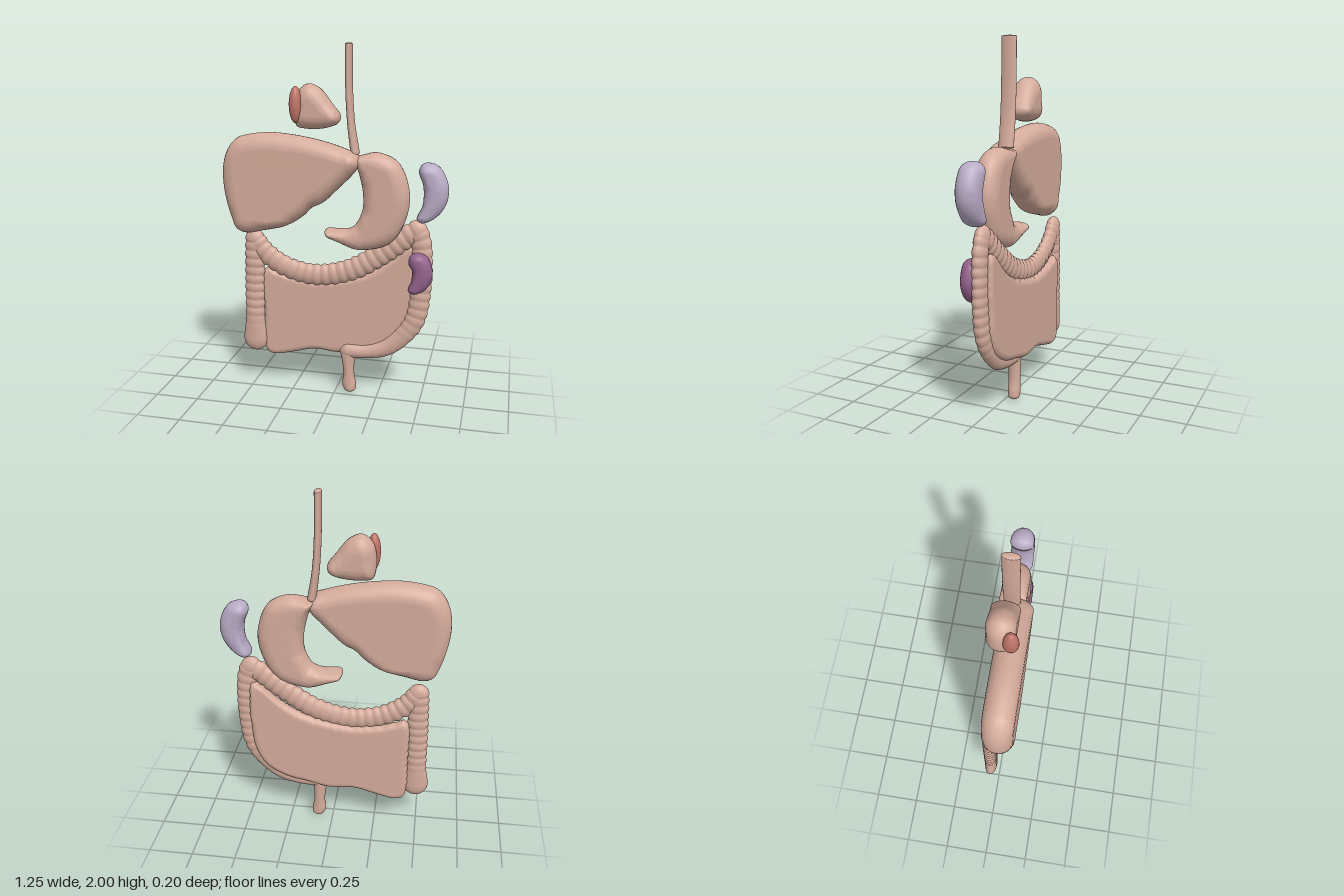
import * as THREE from 'three';

const mat = (name, color) => {
  const m = new THREE.MeshStandardMaterial({ color });
  m.name = name;
  return m;
};

function buildGeometry(pos, idx) {
  const g = new THREE.BufferGeometry();
  g.setAttribute('position', new THREE.Float32BufferAttribute(pos, 3));
  g.setIndex(idx);
  g.computeVertexNormals();
  return g;
}

// Side faces between consecutive rings of n points
function joinRings(rings, n) {
  const idx = [];
  for (let i = 0; i < rings - 1; i++) for (let j = 0; j < n; j++) {
    const a = i * n + j, b = i * n + (j + 1) % n;
    idx.push(a, b, b + n, a, b + n, a + n);
  }
  return idx;
}

// Closest point to p on a polyline
function nearest(p, spine) {
  let best = null, bestD = Infinity;
  for (let i = 0; i < spine.length - 1; i++) {
    const a = new THREE.Vector2(...spine[i]);
    const d = new THREE.Vector2(...spine[i + 1]).sub(a);
    const t = THREE.MathUtils.clamp(p.clone().sub(a).dot(d) / d.lengthSq(), 0, 1);
    const q = a.addScaledVector(d, t);
    if (q.distanceTo(p) < bestD) { bestD = q.distanceTo(p); best = q; }
  }
  return best;
}

// Cushion: smooth outline whose rim rounds over towards an inner spine
function pillow(outline, spine, zBack, zFront, bevel, ripple = () => 0) {
  const n = 180, layers = 12, zc = (zBack + zFront) / 2, hd = (zFront - zBack) / 2;
  const curve = new THREE.CatmullRomCurve3(
    outline.map(([x, y]) => new THREE.Vector3(x, y, 0)), true, 'centripetal');
  let pts = curve.getSpacedPoints(n).slice(0, n).map(p => new THREE.Vector2(p.x, p.y));
  if (THREE.ShapeUtils.isClockWise(pts)) pts.reverse();
  const inward = pts.map(p => {
    const v = nearest(p, spine).sub(p), len = v.length();
    v.divideScalar(len);
    p.addScaledVector(v, -ripple(p));
    return v.multiplyScalar(Math.min(bevel, len * 0.92));
  });
  const pos = [];
  for (let k = 0; k <= layers; k++) {
    const a = (k / layers - 0.5) * Math.PI;
    pts.forEach((p, j) => {
      const s = 1 - Math.cos(a);
      pos.push(p.x + inward[j].x * s, p.y + inward[j].y * s, zc + hd * Math.sin(a));
    });
  }
  const idx = joinRings(layers + 1, n);
  const face = pts.map((p, j) => p.clone().add(inward[j]));
  for (const [a, b, c] of THREE.ShapeUtils.triangulateShape(face, [])) {
    const o = layers * n;
    idx.push(a + o, b + o, c + o, a, c, b);
  }
  return buildGeometry(pos, idx);
}

// Tube along [x, y, half width] points, with rounded ends and optional bulges
function sweep(path, zc, hd, { bulge = 0, pitch = 0.05, cap = 1, steps = 120 } = {}) {
  const curve = new THREE.CatmullRomCurve3(
    path.map(p => new THREE.Vector3(...p)), false, 'centripetal');
  const length = curve.getLength(), sides = 20, capN = 6, pos = [];
  let rings = 0;
  const ring = (u, along, scale) => {
    const p = curve.getPointAt(u), t = curve.getTangentAt(u).setZ(0).normalize();
    const fade = THREE.MathUtils.clamp((p.y - 0.35) / 0.15, 0, 1);
    const wave = 1 + bulge * fade * (Math.abs(Math.sin(Math.PI * u * length / pitch)) - 0.6);
    const r = p.z * wave * scale;
    for (let j = 0; j < sides; j++) {
      const a = j / sides * Math.PI * 2, w = r * Math.cos(a), off = along * p.z * cap;
      pos.push(p.x + t.x * off - t.y * w, p.y + t.y * off + t.x * w,
        zc + hd * wave * scale * Math.sin(a));
    }
    rings++;
  };
  for (let k = 0; k < capN; k++) {
    const a = k / capN * Math.PI / 2;
    ring(0, -Math.cos(a), Math.sin(a));
  }
  for (let i = 0; i <= steps; i++) ring(i / steps, 0, 1);
  for (let k = capN - 1; k >= 0; k--) {
    const a = k / capN * Math.PI / 2;
    ring(1, Math.cos(a), Math.sin(a));
  }
  return buildGeometry(pos, joinRings(rings, sides));
}

export function createModel() {
  const group = new THREE.Group();
  const tissue = mat('tissue tan', 0xd4ab9b);
  const lilac = mat('pale lilac', 0xb9abc6);
  const plum = mat('plum', 0x94628c);
  const red = mat('dusty red', 0xbf7468);
  const add = (name, geometry, material = tissue) => {
    const m = new THREE.Mesh(geometry, material);
    m.name = name;
    group.add(m);
    return m;
  };

  // Upper organs
  add('esophagus', sweep([[0.077, 1.994, 0.019], [0.08, 1.76, 0.019], [0.092, 1.58, 0.02],
    [0.115, 1.42, 0.024]], -0.013, 0.044, { cap: 0.3, steps: 40 }));

  add('liver', pillow([[-0.48, 1.51], [-0.34, 1.525], [-0.12, 1.5], [0.05, 1.455], [0.135, 1.415],
    [0.15, 1.375], [0.125, 1.33], [0.035, 1.235], [-0.055, 1.15], [-0.12, 1.115], [-0.165, 1.07],
    [-0.26, 1.01], [-0.39, 0.975], [-0.495, 0.955], [-0.55, 0.975], [-0.585, 1.05], [-0.622, 1.21],
    [-0.622, 1.34], [-0.59, 1.435], [-0.54, 1.49]],
  [[-0.47, 1.1], [-0.44, 1.31], [-0.2, 1.31], [0.09, 1.38]], -0.063, 0.1, 0.082));

  add('stomach', pillow([[0.14, 1.41], [0.235, 1.43], [0.35, 1.38], [0.415, 1.21], [0.39, 1.05],
    [0.31, 0.93], [0.14, 0.885], [0.035, 0.92], [-0.045, 0.96], [-0.05, 0.99], [0.01, 0.995],
    [0.1, 1.01], [0.155, 1.1], [0.16, 1.21], [0.13, 1.34], [0.1, 1.41]],
  [[0.14, 1.385], [0.23, 1.31], [0.29, 1.15], [0.25, 1.02], [0.13, 0.945], [-0.02, 0.97]],
  -0.085, 0.055, 0.075));

  add('smallLobe', pillow([[-0.21, 1.73], [-0.15, 1.785], [-0.085, 1.765], [-0.01, 1.675],
    [0.03, 1.615], [0.02, 1.58], [-0.055, 1.55], [-0.16, 1.545], [-0.21, 1.56]],
  [[-0.13, 1.66], [-0.01, 1.61]], -0.098, 0.048, 0.075));

  const gland = add('redGland', new THREE.SphereGeometry(1, 32, 24), red);
  gland.scale.set(0.035, 0.098, 0.04);
  gland.position.set(-0.203, 1.677, 0.03);

  // Bean-shaped organs on the left side
  add('spleen', pillow([[0.485, 1.38], [0.56, 1.37], [0.615, 1.28], [0.615, 1.18], [0.565, 1.095],
    [0.485, 1.055], [0.455, 1.075], [0.485, 1.155], [0.485, 1.26], [0.46, 1.34]],
  [[0.505, 1.33], [0.55, 1.22], [0.495, 1.095]], -0.086, 0.042, 0.064), lilac);

  add('kidney', pillow([[0.43, 0.875], [0.475, 0.89], [0.525, 0.865], [0.553, 0.775], [0.525, 0.695],
    [0.455, 0.655], [0.42, 0.675], [0.437, 0.727], [0.44, 0.79], [0.42, 0.83]],
  [[0.465, 0.85], [0.497, 0.77], [0.455, 0.69]], -0.046, 0.053, 0.055), plum);

  // Flat sheet of small bowel, wavy along its top and right edges
  const ripple = p => (p.y > 0.67 || (p.x < -0.38 && p.y > 0.3)
    ? 0.008 * Math.abs(Math.sin((p.x + p.y) * Math.PI / 0.05)) : 0);
  add('smallBowelSheet', pillow([[-0.43, 0.23], [-0.41, 0.2], [-0.37, 0.19], [-0.25, 0.215],
    [-0.13, 0.245], [0.02, 0.237], [0.14, 0.265], [0.27, 0.295], [0.39, 0.37], [0.45, 0.49],
    [0.465, 0.63], [0.465, 0.8], [0.45, 0.91], [0.41, 0.9], [0.32, 0.82], [0.2, 0.74], [0.05, 0.69],
    [-0.1, 0.67], [-0.25, 0.68], [-0.36, 0.71], [-0.41, 0.725], [-0.43, 0.69], [-0.43, 0.45]],
  [[-0.28, 0.44], [0.28, 0.55]], -0.102, -0.035, 0.036, ripple));

  // Large bowel frame
  const zc = -0.046, hd = 0.037;
  add('ascendingColon', sweep([[-0.485, 0.285, 0.073], [-0.485, 0.33, 0.07], [-0.485, 0.41, 0.058],
    [-0.482, 0.6, 0.058], [-0.478, 0.8, 0.057], [-0.475, 0.9, 0.056]], zc, hd, { bulge: 0.13 }));
  add('transverseColon', sweep([[-0.472, 0.895, 0.055], [-0.41, 0.82, 0.058], [-0.29, 0.745, 0.058],
    [-0.11, 0.71, 0.06], [0.09, 0.755, 0.061], [0.27, 0.865, 0.061], [0.4, 0.965, 0.06],
    [0.455, 1.0, 0.06]], zc, hd, { bulge: 0.15, steps: 180 }));
  add('descendingColon', sweep([[0.458, 1.0, 0.06], [0.483, 0.92, 0.056], [0.485, 0.65, 0.056],
    [0.445, 0.46, 0.056], [0.31, 0.31, 0.05], [0.19, 0.268, 0.042], [0.075, 0.262, 0.043]],
  zc, hd, { bulge: 0.11, steps: 180 }));
  add('rectum', sweep([[0.075, 0.26, 0.05], [0.077, 0.19, 0.036], [0.08, 0.11, 0.032],
    [0.082, 0.055, 0.041], [0.088, 0.03, 0.036]], zc, 0.034, { cap: 0.75, steps: 40 }));

  return group;
}
